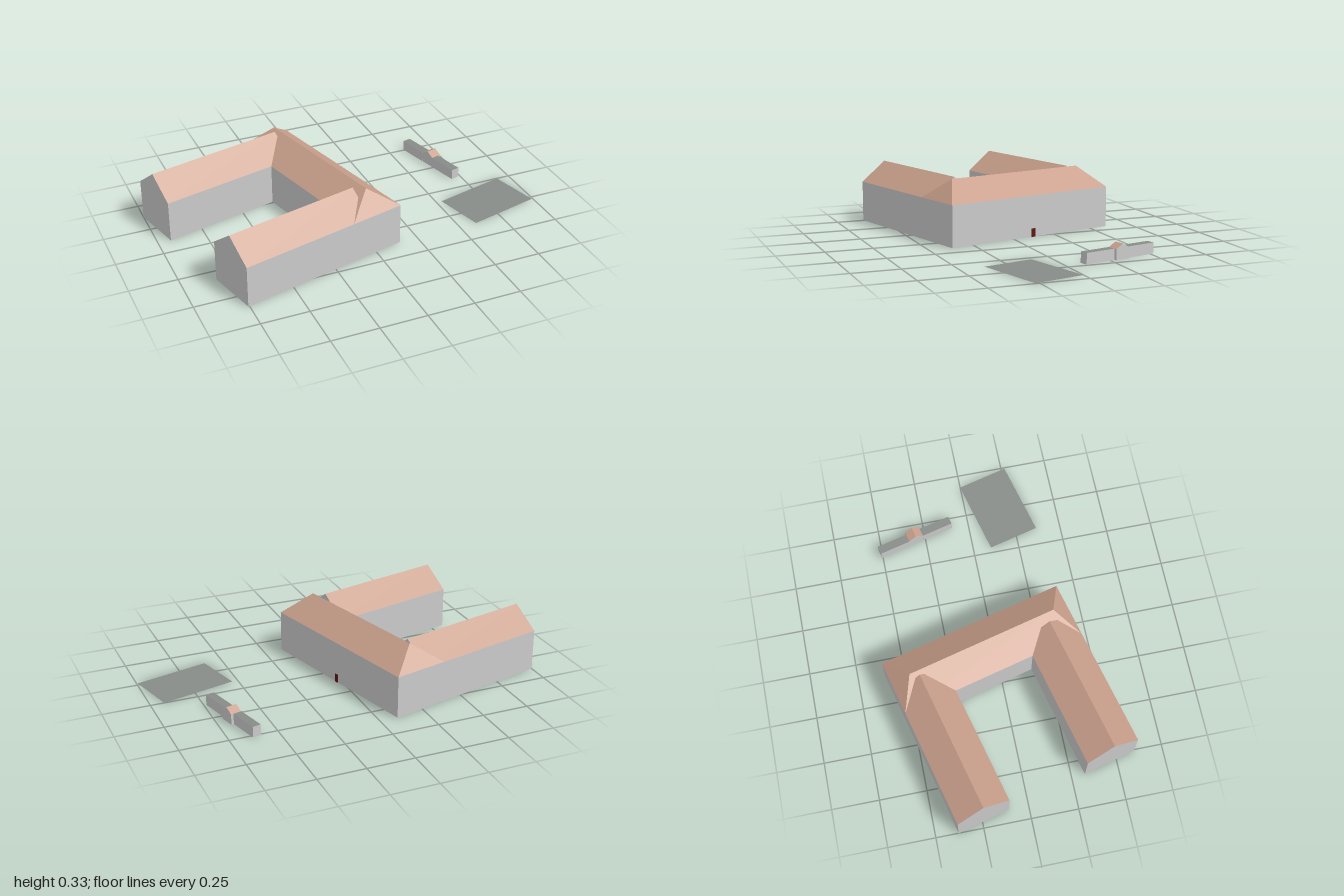
import * as THREE from 'three';

const mat = (color) => new THREE.MeshStandardMaterial({ color, side: THREE.DoubleSide, flatShading: true });
const wallMat = mat(0xcccccc);
const tileMat = mat(0xc99f8b);
const slabMat = mat(0x888c88);
const doorMat = mat(0x5a1512);

// Mesh from flat convex polygons, each a list of [x, y, z] corners
function polygons(name, material, polys) {
  const pos = [];
  for (const p of polys)
    for (let i = 1; i < p.length - 1; i++) pos.push(...p[0], ...p[i], ...p[i + 1]);
  const geo = new THREE.BufferGeometry();
  geo.setAttribute('position', new THREE.Float32BufferAttribute(pos, 3));
  geo.computeVertexNormals();
  const mesh = new THREE.Mesh(geo, material);
  mesh.name = name;
  return mesh;
}

const rect = (x0, x1, z0, z1, y) => [[x0, y, z0], [x0, y, z1], [x1, y, z1], [x1, y, z0]];

// Four upright walls, open above and below; a ridge height turns the x ends into gables
function walls(name, x0, x1, z0, z1, eave, ridge = eave) {
  const zm = (z0 + z1) / 2;
  const end = (x) => [[x, 0, z1], [x, 0, z0], [x, eave, z0], [x, ridge, zm], [x, eave, z1]];
  const side = (z, a, b) => [[a, 0, z], [b, 0, z], [b, eave, z], [a, eave, z]];
  return polygons(name, wallMat, [end(x1), end(x0).reverse(), side(z1, x0, x1), side(z0, x1, x0)]);
}

// Ridge along z when hipped, along x when gabled
function hippedRoof(name, x0, x1, z0, z1, eave, ridge, inset) {
  const [a, b, c, d] = rect(x0, x1, z0, z1, eave);
  const xm = (x0 + x1) / 2;
  const p = [xm, ridge, z0 + inset], q = [xm, ridge, z1 - inset];
  return polygons(name, tileMat, [[a, b, q, p], [b, c, q], [c, d, p, q], [d, a, p]]);
}
function gabledRoof(name, x0, x1, z0, z1, eave, ridge) {
  const [a, b, c, d] = rect(x0, x1, z0, z1, eave);
  const zm = (z0 + z1) / 2;
  const p = [x0, ridge, zm], q = [x1, ridge, zm];
  return polygons(name, tileMat, [[b, c, q, p], [d, a, p, q]]);
}

export function createModel() {
  const root = new THREE.Group();
  root.name = 'courtyardBuilding';
  // Local x runs along the wings, z along the main range
  const site = new THREE.Group();
  site.name = 'site';
  site.position.set(-0.095, 0, -0.606);
  site.rotation.y = 0.2437;
  root.add(site);

  // Main range with hipped roof
  const EAVE = 0.222, RIDGE = 0.33;
  site.add(walls('mainWalls', -0.298, 0, 0, 1.01, EAVE));
  site.add(hippedRoof('mainRoof', -0.298, 0, 0, 1.01, EAVE, RIDGE, 0.097));

  // Two gabled wings running into the main roof
  for (const [name, z0, z1, end] of [['backWing', 0, 0.285, -0.174], ['frontWing', 0.724, 1.01, -0.198]]) {
    const wing = new THREE.Group();
    wing.name = name;
    wing.add(walls('wingWalls', -0.933, end, z0, z1, EAVE, RIDGE));
    wing.add(gabledRoof('wingRoof', -0.933, end, z0, z1, EAVE, RIDGE));
    site.add(wing);
  }

  // Small door in the long outer wall
  const door = new THREE.Mesh(new THREE.BoxGeometry(0.006, 0.045, 0.022), doorMat);
  door.name = 'door';
  door.position.set(0.001, 0.0225, 0.5);
  site.add(door);

  // Low outbuilding: two flat-roofed stretches either side of a gatehouse
  for (const [name, z0, z1] of [['backShed', 0.262, 0.432], ['frontShed', 0.514, 0.688]]) {
    const shed = new THREE.Group();
    shed.name = name;
    shed.add(walls('shedWalls', 0.64, 0.686, z0, z1, 0.057));
    shed.add(polygons('shedRoof', slabMat, [rect(0.64, 0.686, z0, z1, 0.057)]));
    site.add(shed);
  }
  const gate = new THREE.Group();
  gate.name = 'gatehouse';
  gate.add(walls('gatehouseWalls', 0.642, 0.7, 0.432, 0.514, 0.057, 0.08));
  gate.add(gabledRoof('gatehouseRoof', 0.642, 0.7, 0.432, 0.514, 0.057, 0.08));
  site.add(gate);

  // Paved area on the ground
  site.add(polygons('paving', slabMat, [rect(0.437, 0.846, 0.834, 1.112, 0)]));
  return root;
}
